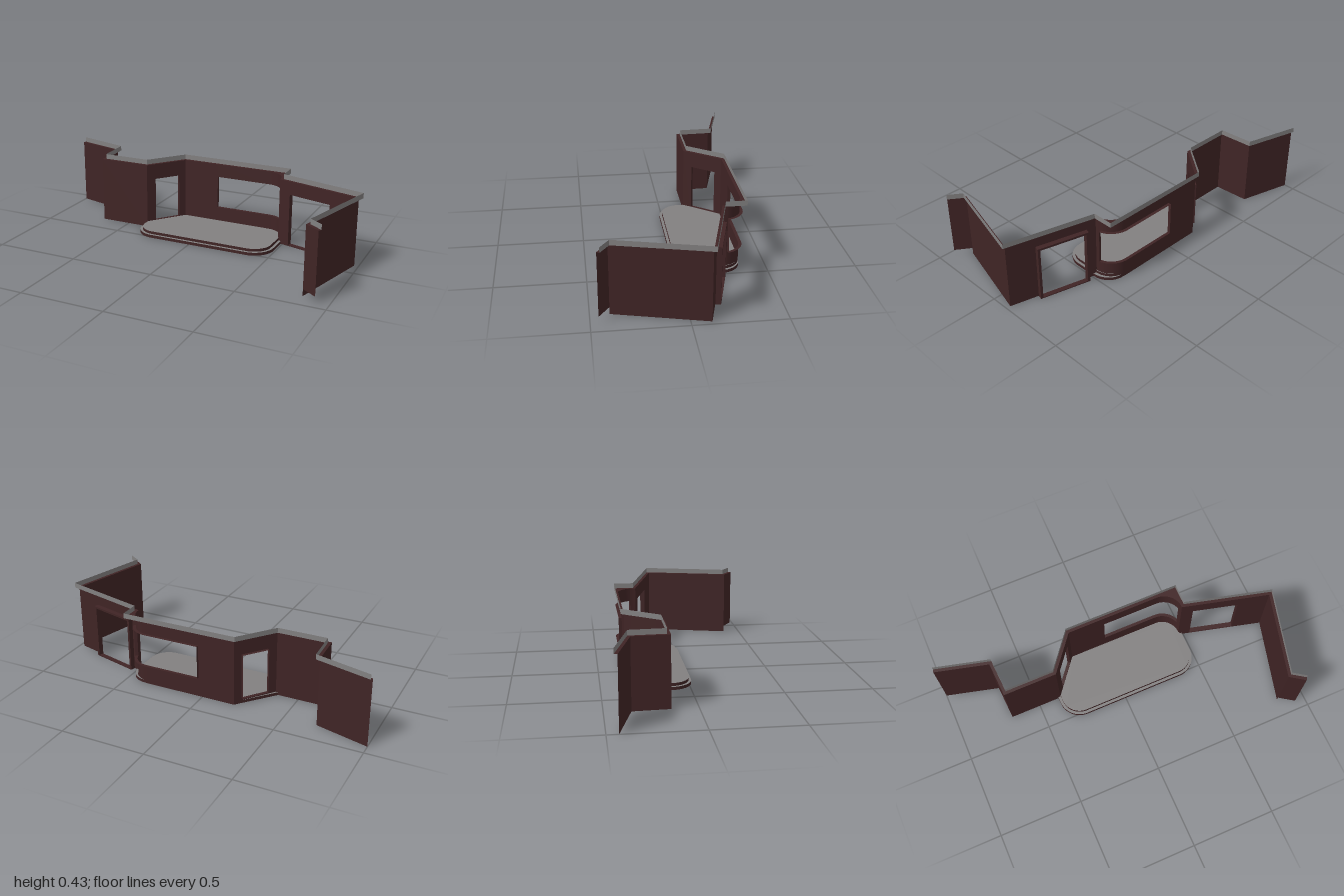
import * as THREE from 'three';
import { toCreasedNormals } from 'three/addons/utils/BufferGeometryUtils.js';

const H = 0.4, CAP = 0.43, T = 0.018;
const P = (x, z) => new THREE.Vector2(x, z);
const at = (path, y) => path.map(p => new THREE.Vector3(p.x, y, p.y));

// path shifted towards the outside with mitred corners
function offset(path, d = T) {
  const normal = i => {
    const v = path[i + 1].clone().sub(path[i]).normalize();
    return P(v.y, -v.x);
  };
  return path.map((p, i) => {
    const a = normal(Math.max(i - 1, 0)), b = normal(Math.min(i, path.length - 2));
    const m = a.clone().add(b).normalize();
    return p.clone().addScaledVector(m, d / m.dot(b));
  });
}

// sheet spanned between two rows of points
function ribbon(rowA, rowB) {
  const pos = [], idx = [];
  rowA.forEach((p, i) => {
    pos.push(...p.toArray(), ...rowB[i].toArray());
    if (i) idx.push(2 * i - 2, 2 * i, 2 * i - 1, 2 * i - 1, 2 * i, 2 * i + 1);
  });
  const g = new THREE.BufferGeometry();
  g.setAttribute('position', new THREE.Float32BufferAttribute(pos, 3));
  g.setIndex(idx);
  return toCreasedNormals(g, 0.5);
}

export function createModel() {
  const root = new THREE.Group();
  const brown = new THREE.MeshStandardMaterial({ color: 0x402425, side: THREE.DoubleSide });
  brown.name = 'darkBrown';
  const gray = new THREE.MeshStandardMaterial({ color: 0x828080, side: THREE.DoubleSide });
  gray.name = 'gray';

  const add = (name, geo, mat, parent = root) => {
    const m = new THREE.Mesh(geo, mat);
    m.name = name;
    parent.add(m);
    return m;
  };
  const sheet = (name, path, y0, y1, mat = brown, parent = root) =>
    add(name, ribbon(at(path, y0), at(path, y1)), mat, parent);

  // wall with an opening: solid before and after, lintel, apron and reveals
  function openWall(name, before, hole, after, y0, y1, depth = T) {
    const g = new THREE.Group();
    g.name = name;
    root.add(g);
    const out = offset(hole, depth), n = hole.length - 1;
    sheet('wallBefore', before, 0, H, brown, g);
    sheet('wallAfter', after, 0, H, brown, g);
    sheet('lintel', hole, y1, H, brown, g);
    if (y0 > 0) sheet('apron', hole, 0, y0, brown, g);
    for (const y of [y0, y1]) add('reveal', ribbon(at(hole, y), at(out, y)), brown, g);
    for (const i of [0, n]) sheet('jamb', [hole[i], out[i]], y0, y1, brown, g);
    return g;
  }

  // plan corners of the wall line
  const c = [P(-1, -0.437), P(-0.69, -0.355), P(-0.68, -0.147), P(-0.364, -0.147), P(-0.2, -0.355),
    P(0.47, -0.355), P(0.47, -0.24), P(0.975, -0.107), P(0.842, 0.398), P(0.927, 0.457)];
  const R = 0.11;
  const curve = [];
  for (let i = 0; i <= 12; i++) {
    const a = i * Math.PI / 24;
    curve.push(P(0.47 - R + R * Math.sin(a), -0.355 + R - R * Math.cos(a)));
  }

  // plain walls
  sheet('leftWall', c.slice(0, 4), 0, H);
  sheet('longRightWall', [c[7], c[8]], 0, H);
  sheet('endPanel', [c[8], c[9]], 0.04, H);

  // angled doorway
  const s = t => c[3].clone().lerp(c[4], t);
  openWall('angledDoorway', [c[3], s(0.22)], [s(0.22), s(0.83)], [s(0.83), c[4]], 0.035, 0.305);

  // back wall with a window wrapping round the curved corner
  const w = P(0.022, -0.355);
  openWall('backWindowWall', [c[4], w], [w, ...curve.slice(0, 11)],
    [...curve.slice(10), c[6]], 0.12, 0.32);

  // wall with the wide door opening and its projecting frame
  const d = t => c[6].clone().lerp(c[7], t);
  const door = openWall('wideDoorWall', [c[6], d(0.137)], [d(0.137), d(0.655)], [d(0.655), c[7]], 0, 0.32, 0.03);
  const angle = -Math.atan2(c[7].y - c[6].y, c[7].x - c[6].x);
  const frame = new THREE.Group();
  frame.name = 'doorFrame';
  const mid = offset([d(0.137), d(0.655)], 0.016);
  const len = mid[0].distanceTo(mid[1]);
  frame.position.set((mid[0].x + mid[1].x) / 2, 0, (mid[0].y + mid[1].y) / 2);
  frame.rotation.y = angle;
  door.add(frame);
  for (const side of [-1, 1]) {
    add('framePost', new THREE.BoxGeometry(0.014, 0.32, 0.028), brown, frame)
      .position.set(side * (len / 2 + 0.007), 0.16, 0);
  }
  add('frameHead', new THREE.BoxGeometry(len + 0.028, 0.012, 0.028), brown, frame).position.y = 0.326;
  add('doorSill', new THREE.BoxGeometry(len, 0.005, 0.028), brown, frame).position.y = 0.0025;

  // ledge on top of the walls, filling the square corner over the curve
  const outer = offset(c);
  const inLine = [...c.slice(0, 5), ...curve, ...c.slice(6)];
  const outLine = [...outer.slice(0, 5), ...curve.map(() => outer[5]), ...outer.slice(6)];
  add('topLedge', ribbon(at(inLine, H), at(outLine, H)), brown);
  // upright cap strip along the outer line
  sheet('capStrip', outer, H, CAP, gray);

  // two-tier platform
  function tier(name, e, y0, y1) {
    const x0 = -0.362 - e, x1 = 0.474 + e, z1 = e, r = 0.11 + e, zb = -0.353;
    const sh = new THREE.Shape();
    sh.moveTo(x0, -0.147);
    sh.lineTo(x0, z1 - r);
    sh.absarc(x0 + r, z1 - r, r, Math.PI, Math.PI / 2, true);
    sh.lineTo(x1 - r, z1);
    sh.absarc(x1 - r, z1 - r, r, Math.PI / 2, 0, true);
    sh.lineTo(x1, zb + R);
    sh.absarc(x1 - R, zb + R, R, 0, -Math.PI / 2, true);
    sh.lineTo(-0.2, zb);
    const geo = new THREE.ExtrudeGeometry(sh, { depth: y1 - y0, bevelEnabled: false, curveSegments: 14 });
    geo.rotateX(Math.PI / 2).translate(0, y1, 0);
    add(name, geo, [gray, brown]);
  }
  tier('lowerStep', 0.016, 0, 0.018);
  tier('upperFloor', 0, 0.018, 0.035);

  return root;
}
